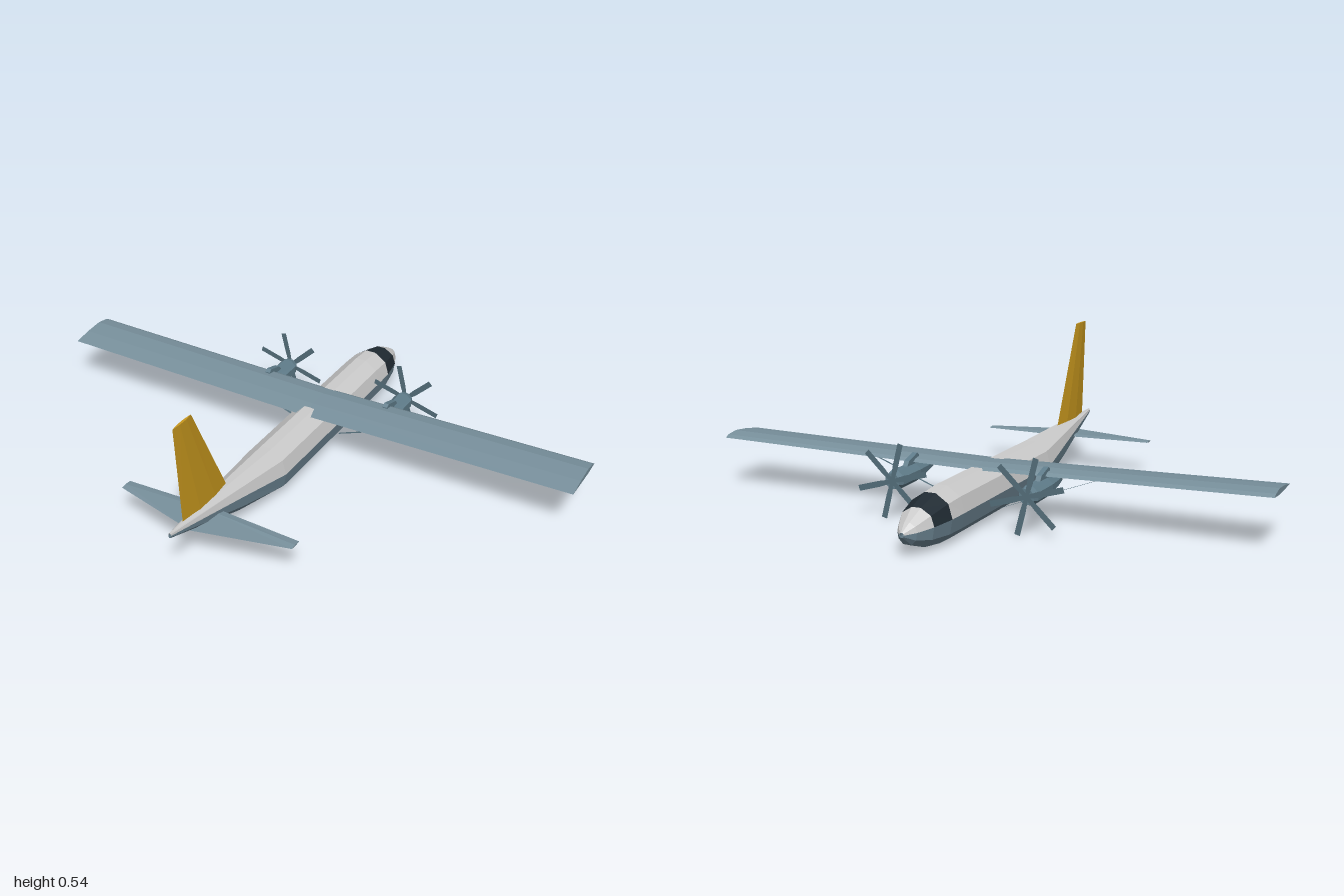
import * as THREE from 'three';

const mat = (color, side = THREE.FrontSide) =>
  new THREE.MeshStandardMaterial({ color, side, flatShading: true });

// Skin a list of equal-length cross-sections (points are [x, y, z]).
function loft(sections, { closed = true, caps = true } = {}) {
  const pos = [];
  const tri = (a, b, c) => pos.push(...a, ...b, ...c);
  const n = sections[0].length;
  for (let i = 0; i < sections.length - 1; i++) {
    const s = sections[i], t = sections[i + 1];
    for (let j = 0; j < (closed ? n : n - 1); j++) {
      const k = (j + 1) % n;
      tri(s[j], s[k], t[k]);
      tri(s[j], t[k], t[j]);
    }
  }
  if (caps) {
    const a = sections[0], b = sections[sections.length - 1];
    for (let j = 1; j < n - 1; j++) {
      tri(a[0], a[j + 1], a[j]);
      tri(b[0], b[j], b[j + 1]);
    }
  }
  const g = new THREE.BufferGeometry();
  g.setAttribute('position', new THREE.Float32BufferAttribute(pos, 3));
  g.computeVertexNormals();
  return g;
}

export function createModel() {
  const plane = new THREE.Group();
  plane.name = 'propellerAircraft';
  const grey = mat(0xcccccc, THREE.DoubleSide);
  const slate = mat(0x78909c);
  const belly = mat(0x6f8896, THREE.DoubleSide);
  const engineBlue = mat(0x607d8b);
  const bladeBlue = mat(0x546e7a, THREE.DoubleSide);
  const glass = mat(0x202b33, THREE.DoubleSide);
  const gold = mat(0xc8981e);

  const add = (name, geometry, material, parent = plane) => {
    const m = new THREE.Mesh(geometry, material);
    m.name = name;
    parent.add(m);
    return m;
  };

  // Fuselage stations: z, half width, bottom, waist, top
  const stations = [
    [-0.765, 0.008, 0.072, 0.08, 0.088],
    [-0.73, 0.034, 0.042, 0.082, 0.112],
    [-0.67, 0.061, 0.02, 0.087, 0.143],
    [-0.58, 0.077, 0.009, 0.09, 0.168],
    [-0.5, 0.078, 0.007, 0.09, 0.174],
    [0.19, 0.078, 0.007, 0.09, 0.174],
    [0.4, 0.052, 0.054, 0.125, 0.181],
    [0.765, 0.005, 0.172, 0.181, 0.19],
  ];
  const upper = ([z, w, , mid, top]) => {
    const y = (t) => mid + (top - mid) * t;
    const half = [[w, y(0), z], [w * 0.82, y(0.62), z], [w * 0.25, y(1), z]];
    return [...half, ...half.map(([x, h]) => [-x, h, z]).reverse()];
  };
  const lower = ([z, w, bot, mid]) => {
    const y = (t) => mid + (bot - mid) * t;
    const half = [[-w, y(0), z], [-w * 0.88, y(0.6), z], [-w * 0.42, y(1), z]];
    return [...half, ...half.map(([x, h]) => [-x, h, z]).reverse()];
  };
  const open = { closed: false, caps: false };
  const closedEnds = { closed: false, caps: true };
  add('noseTop', loft(stations.slice(0, 3).map(upper), open), grey);
  add('cockpitWindow', loft(stations.slice(2, 4).map(upper), open), glass);
  add('upperFuselage', loft(stations.slice(3).map(upper), open), grey);
  add('lowerFuselage', loft(stations.map(lower), closedEnds), belly);

  // Straight high wing with slight dihedral; airfoil is [z, y]
  const airfoil = [[-0.062, 0], [-0.2, -0.003], [-0.262, 0.002], [-0.245, 0.011], [-0.2, 0.018], [-0.13, 0.012]];
  add('wing', loft([-1, 0, 1].map((x) =>
    airfoil.map(([z, y]) => [x, 0.166 + 0.017 * Math.abs(x) + y, z]))), slate);

  // Tailplane
  const tailSection = (x, lead, trail, t) => [
    [x, 0.128, trail], [x, 0.128 - t, lead + 0.025], [x, 0.128, lead], [x, 0.128 + t, lead + 0.025]];
  add('tailplane', loft([
    tailSection(-0.325, 0.53, 0.575, 0.003),
    tailSection(0, 0.515, 0.655, 0.005),
    tailSection(0.325, 0.53, 0.575, 0.003),
  ]), slate);

  // Fin
  const finSection = (y, lead, trail, t) => {
    const at = (f) => lead + (trail - lead) * f;
    return [[0, y, trail], [t, y, at(0.65)], [t, y, at(0.3)], [0, y, lead], [-t, y, at(0.3)], [-t, y, at(0.65)]];
  };
  add('fin', loft([finSection(0.178, 0.442, 0.692, 0.009), finSection(0.545, 0.622, 0.72, 0.004)]), gold);

  // Flat tapered propeller blade, root at the origin
  const blade = new THREE.Shape();
  blade.moveTo(-0.006, 0);
  blade.lineTo(0.006, 0);
  blade.lineTo(0.01, 0.05);
  blade.lineTo(0.01, 0.132);
  blade.lineTo(-0.01, 0.132);
  blade.lineTo(-0.01, 0.05);
  const bladeGeometry = new THREE.ShapeGeometry(blade);

  // Engine outline stations: z, half width, centre height, half height
  const nacelle = [[-0.39, 0.026, 0, 0.026], [-0.37, 0.033, 0, 0.032], [-0.25, 0.033, 0, 0.031],
    [-0.18, 0.024, 0.001, 0.023], [-0.128, 0.015, 0.003, 0.014]];
  for (const side of [-1, 1]) {
    const engine = new THREE.Group();
    engine.name = side > 0 ? 'leftEngine' : 'rightEngine';
    engine.position.set(side * 0.242, 0.134, 0);
    plane.add(engine);
    add('nacelle', loft(nacelle.map(([z, rx, y, ry]) =>
      Array.from({ length: 8 }, (_, i) => {
        const a = (i + 0.5) * Math.PI / 4;
        return [rx * 1.06 * Math.cos(a), y + ry * 1.06 * Math.sin(a), z];
      }))), engineBlue, engine);

    // Pylon joining the engine to the wing's leading edge
    const pylon = (x) => [[x, 0.02, -0.22], [x, 0.02, -0.31], [x, 0.047, -0.29], [x, 0.064, -0.232], [x, 0.055, -0.22]];
    add('pylon', loft([pylon(-0.009), pylon(0.009)]), engineBlue, engine);

    const propeller = new THREE.Group();
    propeller.name = 'propeller';
    propeller.position.z = -0.3905;
    engine.add(propeller);
    for (let i = 0; i < 6; i++) {
      add('blade', bladeGeometry, bladeBlue, propeller).rotation.z = THREE.MathUtils.degToRad(14 + i * 60);
    }

    // Thin wing brace from the lower fuselage to the wing's underside
    const strip = [-0.207, -0.197].map((z) => [[side * 0.07, 0.033, z], [side * 0.44, 0.174, z]]);
    add('wingStrut', loft(strip, open), bladeBlue);
  }
  return plane;
}
